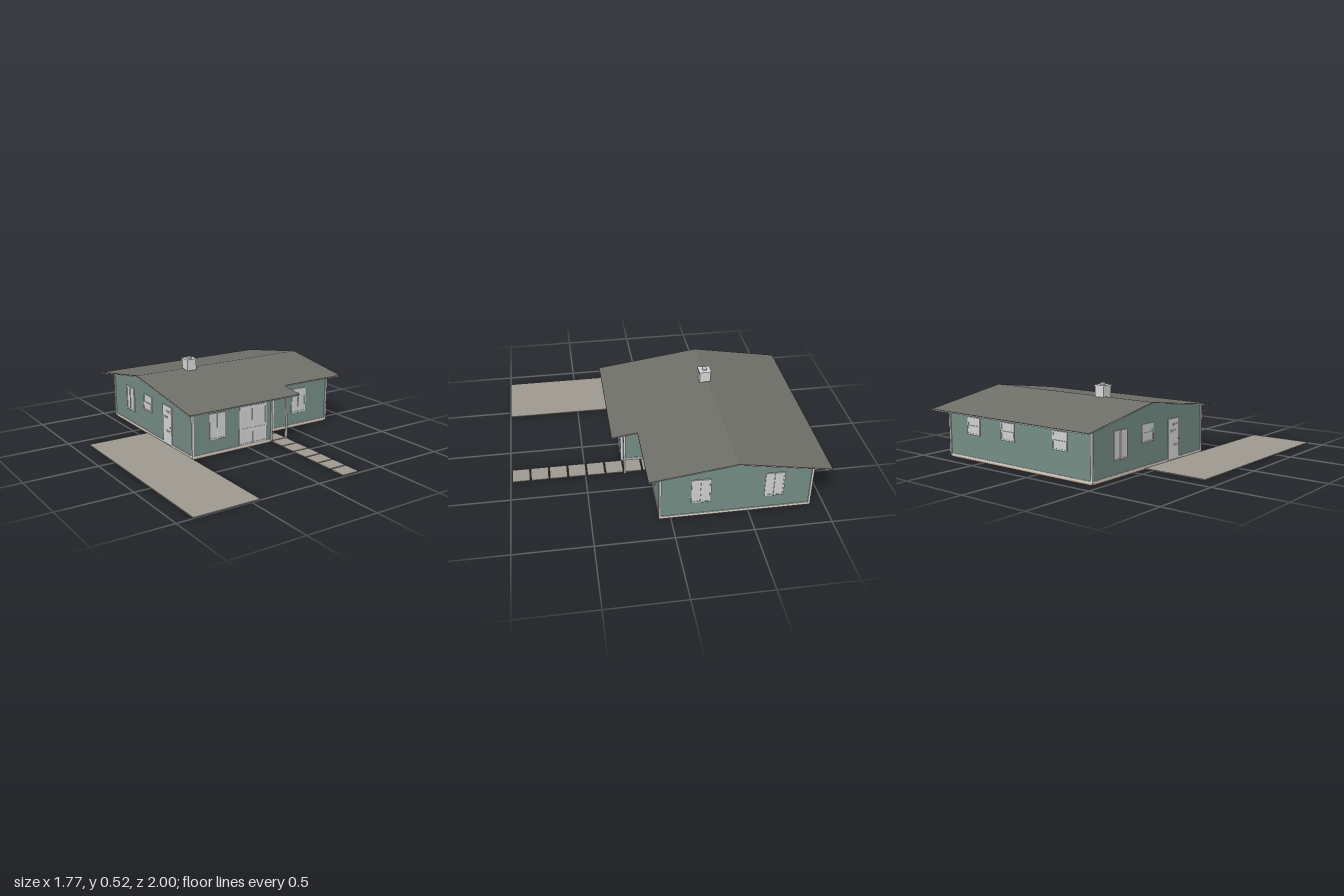
import * as THREE from 'three';

const mat = (name, color) => {
  const m = new THREE.MeshStandardMaterial({ color });
  m.name = name;
  return m;
};

export function createModel() {
  const house = new THREE.Group();
  house.name = 'house';
  const wallGreen = mat('wall green', 0x768f86);
  const trimWhite = mat('trim white', 0xdadada);
  const glassGrey = mat('glass grey', 0xd2d4d4);
  const roofGrey = mat('roof grey', 0x70706a);
  const paving = mat('paving', 0xa09b91);
  const floorTan = mat('floor tan', 0xd0b094);
  const metal = mat('metal', 0xa8a8a8);

  const add = (parent, name, geo, m, x = 0, y = 0, z = 0) => {
    const mesh = new THREE.Mesh(geo, m);
    mesh.name = name;
    mesh.position.set(x, y, z);
    parent.add(mesh);
    return mesh;
  };
  // Box given by its minimum and maximum on each axis
  const block = (parent, name, m, x0, x1, y0, y1, z0, z1) =>
    add(parent, name, new THREE.BoxGeometry(x1 - x0, y1 - y0, z1 - z0), m,
      (x0 + x1) / 2, (y0 + y1) / 2, (z0 + z1) / 2);

  // Cross-section of [z, y] points swept along x
  const sweep = (name, m, points, x0, x1) => {
    const shape = new THREE.Shape(points.map(([z, y]) => new THREE.Vector2(-z, y)));
    const geo = new THREE.ExtrudeGeometry(shape, { depth: x1 - x0, bevelEnabled: false });
    geo.rotateY(Math.PI / 2);
    return add(house, name, geo, m, x0, 0, 0);
  };

  // Height of the roof surface at a given depth
  const ridge = -0.4;
  const roofY = z => 0.437 - (z > ridge ? 0.139 * (z - ridge) : 0.175 * (ridge - z));

  // Two bays: long one on the right-hand side, shorter one on the left
  const L = -0.44, M = 0.2, R = 0.82, back = -0.9, frontA = 0.24, frontB = 0.07;
  for (const [x0, x1, front] of [[L, M, frontA], [M, R, frontB]]) {
    block(house, 'floor', floorTan, x0, x1, 0, 0.012, back, front);
    sweep('walls', wallGreen, [
      [back, 0.012], [front, 0.012], [front, roofY(front) - 0.008],
      [ridge, roofY(ridge) - 0.008], [back, roofY(back) - 0.008],
    ], x0, x1);
  }

  // Roof: dark covering over a white soffit
  const roofLayer = (name, m, z1, x0, x1, top, bottom) => {
    const zs = [-1, ridge, z1];
    sweep(name, m, [
      ...zs.map(z => [z, roofY(z) - bottom]),
      ...zs.reverse().map(z => [z, roofY(z) - top]),
    ], x0, x1);
  };
  for (const [x0, x1, z1] of [[-0.505, 0.375, 0.32], [0.375, 0.885, 0.15]]) {
    roofLayer('roofCovering', roofGrey, z1, x0, x1, 0, 0.004);
    roofLayer('roofSoffit', trimWhite, z1, x0, x1, 0.004, 0.009);
  }

  // Corner boards
  for (const [x, z] of [[L, back], [R, back], [L, frontA], [M - 0.005, frontA], [R, frontB]])
    block(house, 'cornerBoard', trimWhite, x - 0.007, x + 0.007, 0.008, roofY(z) - 0.01, z - 0.007, z + 0.007);
  block(house, 'cornerBoard', trimWhite, 0.325, 0.338, 0.012, roofY(frontB) - 0.01, frontB - 0.002, frontB + 0.006);
  block(house, 'porchPost', trimWhite, 0.325, 0.338, 0, roofY(0.232) - 0.008, 0.226, 0.239);

  // Base boards
  const t = 0.004;
  for (const [x0, x1, z0, z1] of [
    [L, M, frontA, frontA + t], [M, R, frontB, frontB + t], [L, R, back - t, back],
    [L - t, L, back, frontA], [R, R + t, back, frontB], [M, M + t, frontB, frontA],
  ]) block(house, 'baseBoard', trimWhite, x0, x1, 0.012, 0.024, z0, z1);

  // Placement on a wall: local +z points outward
  const onWall = (name, side, u) => {
    const g = new THREE.Group();
    g.name = name;
    const [x, z, r] = {
      frontA: [u, frontA, 0], frontB: [u, frontB, 0], back: [u, back, Math.PI],
      left: [R, u, Math.PI / 2], right: [L, u, -Math.PI / 2],
    }[side];
    g.position.set(x, 0, z);
    g.rotation.y = r;
    house.add(g);
    return g;
  };
  // Rectangular frame with a pane inside
  const sash = (g, x0, x1, y0, y1, depth, b = 0.009) => {
    block(g, 'pane', glassGrey, x0 + b, x1 - b, y0 + b, y1 - b, -0.002, depth - 0.003);
    for (const [a, c] of [[x0, x0 + b], [x1 - b, x1]])
      block(g, 'frameStile', trimWhite, a, c, y0, y1, -0.002, depth);
    for (const [a, c] of [[y0, y0 + b], [y1 - b, y1]])
      block(g, 'frameRail', trimWhite, x0 + b, x1 - b, a, c, -0.002, depth);
  };

  // Tall sliding windows with two side-by-side sashes
  for (const [side, u] of [['frontA', -0.248], ['frontB', 0.562], ['left', -0.19], ['left', -0.66], ['right', -0.64]]) {
    const g = onWall('slidingWindow', side, u);
    sash(g, -0.062, 0.004, 0.112, 0.292, 0.005);
    sash(g, -0.004, 0.062, 0.112, 0.292, 0.008);
  }
  // Small windows with two stacked sashes
  for (const [side, u] of [['back', 0.58], ['back', 0.26], ['back', -0.19], ['right', -0.37]]) {
    const g = onWall('smallWindow', side, u);
    sash(g, -0.06, 0.06, 0.176, 0.237, 0.008);
    sash(g, -0.06, 0.06, 0.229, 0.292, 0.005);
  }

  // Glazed patio doors
  const patio = onWall('patioDoors', 'frontA', 0.037);
  for (const [x0, x1, d] of [[-0.11, 0.002, 0.005], [-0.002, 0.11, 0.007]]) {
    sash(patio, x0, x1, 0.026, 0.131, d);
    sash(patio, x0, x1, 0.131, 0.287, d);
    sash(patio, x0, x1, 0.287, 0.328, d);
  }

  // Entrance doors with three narrow lights and a knob
  for (const [side, u, w] of [['frontB', 0.263, 0.062], ['right', -0.085, 0.06]]) {
    const g = onWall('entranceDoor', side, u);
    block(g, 'doorLeaf', trimWhite, -w, w, 0.014, 0.288, -0.002, 0.006);
    for (const [x, y] of [[0.018, 0.247], [-0.005, 0.205], [0.018, 0.107]]) {
      block(g, 'lightFrame', trimWhite, x - 0.028, x + 0.028, y - 0.009, y + 0.009, 0.005, 0.008);
      block(g, 'lightPane', metal, x - 0.024, x + 0.024, y - 0.005, y + 0.005, 0.007, 0.009);
    }
    add(g, 'doorKnob', new THREE.SphereGeometry(0.005, 12, 8), metal, w - 0.01, 0.145, 0.009);
  }

  // Chimney with cap and flue
  const chimney = new THREE.Group();
  chimney.name = 'chimney';
  chimney.position.set(-0.09, 0, -0.383);
  house.add(chimney);
  block(chimney, 'stack', trimWhite, -0.037, 0.037, 0.42, 0.505, -0.037, 0.037);
  block(chimney, 'cap', trimWhite, -0.042, 0.042, 0.502, 0.513, -0.042, 0.042);
  add(chimney, 'flue', new THREE.CylinderGeometry(0.018, 0.018, 0.02, 24), trimWhite, 0, 0.515, 0);

  // Driveway and stepping slabs up to the porch
  block(house, 'driveway', paving, -0.89, L, 0, 0.007, -0.39, 1);
  for (let i = 0; i < 7; i++) {
    const z1 = 0.99 - i * 0.126;
    block(house, 'pathSlab', paving, 0.2, 0.325, 0, 0.007, z1 - 0.117, z1);
  }
  block(house, 'porchSlab', paving, 0.2, 0.325, 0, 0.007, frontB, 0.108);

  return house;
}
